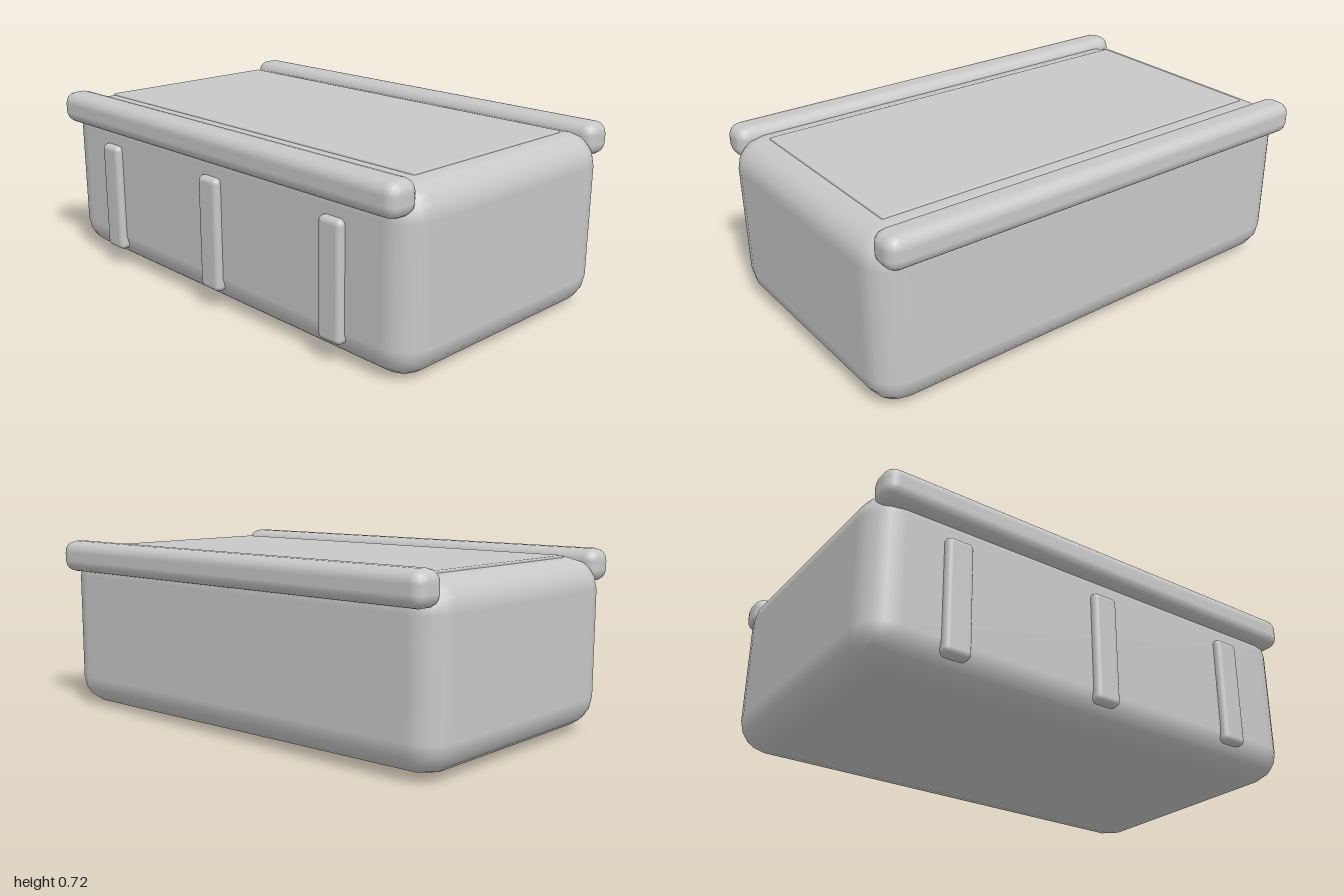
import * as THREE from 'three';
import { RoundedBoxGeometry } from 'three/addons/geometries/RoundedBoxGeometry.js';

export function createModel() {
  const group = new THREE.Group();
  group.name = 'chest';
  const grey = new THREE.MeshStandardMaterial({ color: 0xc8c8c8 });
  grey.name = 'light grey';

  // Rounded block given by its lower and upper corners
  function block(name, min, max, radius, segments) {
    const size = max.map((v, i) => v - min[i]);
    const mesh = new THREE.Mesh(new RoundedBoxGeometry(...size, segments, radius), grey);
    mesh.position.set(...max.map((v, i) => (v + min[i]) / 2));
    mesh.name = name;
    group.add(mesh);
    return mesh;
  }

  // Main body, its underside rising slightly toward the right end
  const body = block('body', [-1, 0, -0.57], [1, 0.697, 0.57], 0.125, 2);
  const p = body.geometry.attributes.position;
  for (let i = 0; i < p.count; i++) {
    if (p.getY(i) < 0) p.setY(i, p.getY(i) + 0.01 * (1 - p.getX(i)));
  }

  // Thin lid panel on top
  block('lidPanel', [-0.885, 0.67, -0.425], [0.88, 0.704, 0.42], 0.006, 1);

  // Rails along the front and back top edges
  block('frontRail', [-0.98, 0.595, 0.49], [0.975, 0.726, 0.622], 0.048, 2);
  block('backRail', [-0.98, 0.595, -0.624], [0.975, 0.726, -0.493], 0.048, 2);

  // Vertical ribs on the front
  for (const x of [-0.663, -0.003, 0.659]) {
    block('frontRib', [x - 0.056, 0.08, 0.52], [x + 0.056, 0.538, 0.598], 0.022, 2);
  }
  return group;
}
